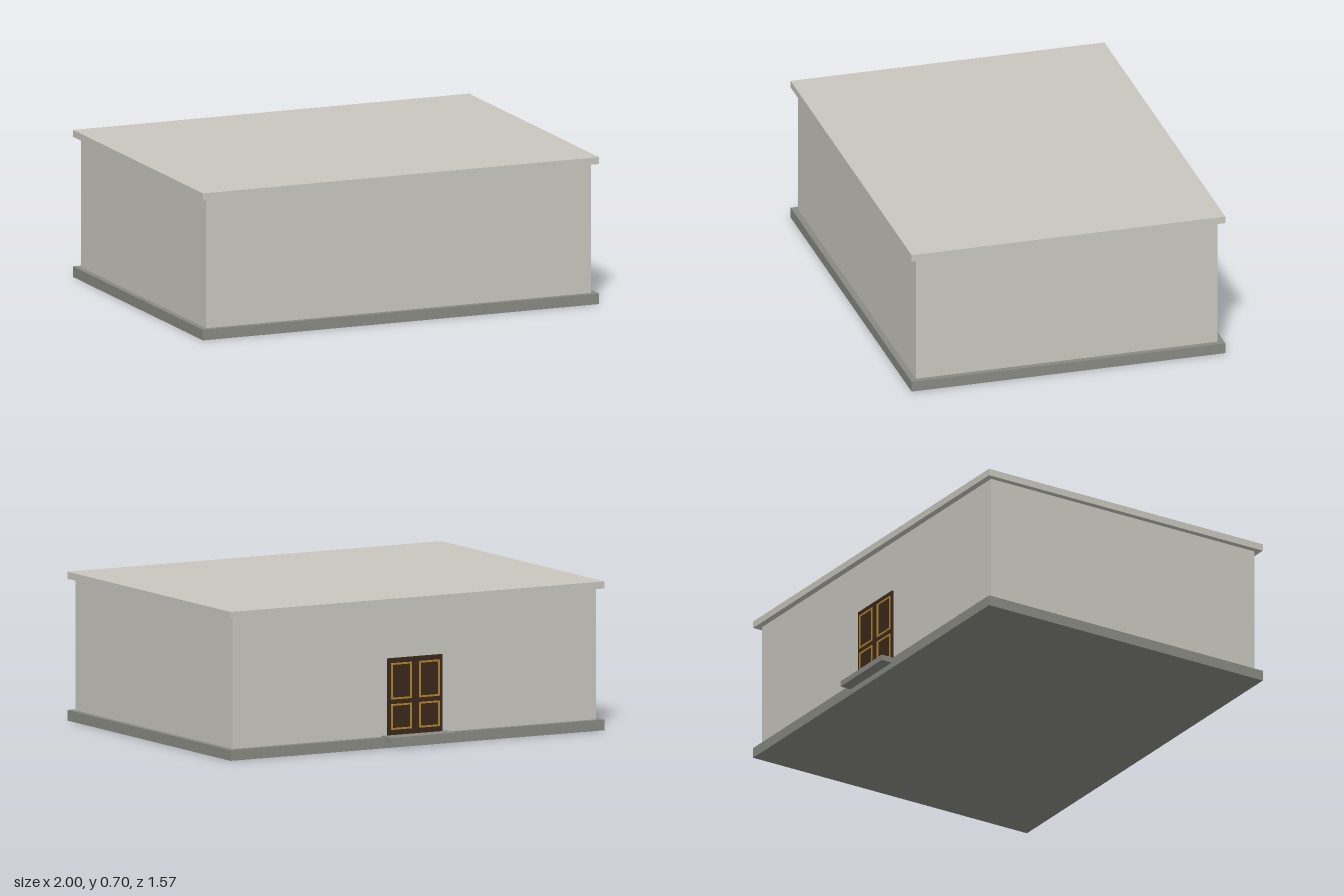
import * as THREE from 'three';

const material = (name, color) => {
  const m = new THREE.MeshStandardMaterial({ color });
  m.name = name;
  return m;
};

export function createModel() {
  const model = new THREE.Group();
  model.name = 'building';
  const plaster = material('pale plaster', 0xc9c7bf);
  const stone = material('grey stone', 0x8a8a83);
  const wood = material('dark wood', 0x3a281a);
  const gold = material('gold trim', 0xb5852c);

  // Box given by its lower and upper corners
  const box = (name, mat, [x0, y0, z0], [x1, y1, z1], parent = model) => {
    const mesh = new THREE.Mesh(new THREE.BoxGeometry(x1 - x0, y1 - y0, z1 - z0), mat);
    mesh.position.set((x0 + x1) / 2, (y0 + y1) / 2, (z0 + z1) / 2);
    mesh.name = name;
    parent.add(mesh);
  };

  // Main body
  box('foundation', stone, [-1, 0, -0.73], [1, 0.05, 0.785]);
  box('walls', plaster, [-0.972, 0.05, -0.7], [0.972, 0.664, 0.757]);
  box('roofSlab', plaster, [-1, 0.664, -0.73], [1, 0.697, 0.785]);
  box('doorStep', stone, [-0.175, 0.028, -0.785], [0.175, 0.055, -0.7]);

  // Double door on the back wall
  const door = new THREE.Group();
  door.name = 'doubleDoor';
  model.add(door);
  for (const side of [-1, 1]) {
    const inner = side * 0.001, outer = side * 0.145;
    box('doorLeaf', wood, [Math.min(inner, outer), 0.05, -0.708], [Math.max(inner, outer), 0.415, -0.7], door);

    // Gold outline around an upper and a lower panel
    for (const [y0, y1] of [[0.08, 0.2], [0.222, 0.392]]) {
      const w = 0.055, h = (y1 - y0) / 2, t = 0.008;
      const rect = (Path, a, b) => new Path().setFromPoints([
        [-a, -b], [a, -b], [a, b], [-a, b], [-a, -b],
      ].map(([x, y]) => new THREE.Vector2(x, y)));
      const shape = rect(THREE.Shape, w, h);
      shape.holes.push(rect(THREE.Path, w - t, h - t));
      const trim = new THREE.Mesh(
        new THREE.ExtrudeGeometry(shape, { depth: 0.005, bevelEnabled: false }), gold);
      trim.name = 'panelTrim';
      trim.position.set(side * 0.075, (y0 + y1) / 2, -0.712);
      door.add(trim);
    }
  }
  return model;
}
